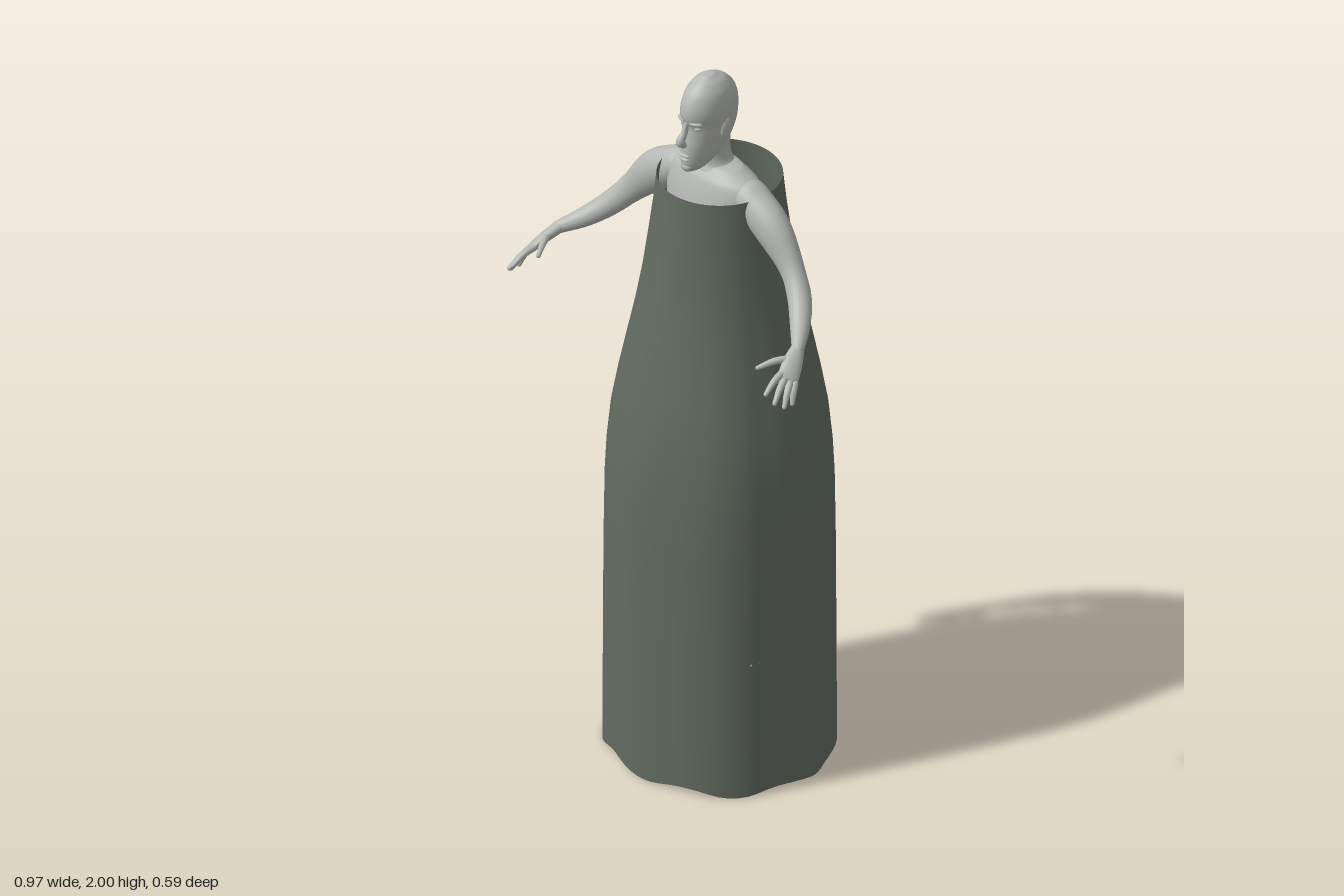
import * as THREE from 'three';

const skin = new THREE.MeshStandardMaterial({ color: 0xb4b7b3 });
skin.name = 'pale grey skin';
const cloth = new THREE.MeshStandardMaterial({ color: 0x626b61, side: THREE.DoubleSide });
cloth.name = 'dark green grey cloth';

const V = (x, y, z) => new THREE.Vector3(x, y, z);

// Closed-ring surface through rows of points
function surface(rows) {
  const n = rows[0].length, index = [];
  for (let i = 0; i < rows.length - 1; i++) {
    for (let j = 0; j < n; j++) {
      const a = i * n + j, b = i * n + (j + 1) % n;
      index.push(a, a + n, b, b, a + n, b + n);
    }
  }
  const geometry = new THREE.BufferGeometry().setFromPoints(rows.flat());
  geometry.setIndex(index);
  geometry.computeVertexNormals();
  return geometry;
}

// Smooth loft through sections [x, y, z, a, b] with rounded ends; b lies along ref
function loft(sections, { ref = V(0, 1, 0), axis = null, cap = 1, sides = 24, steps = 5 } = {}) {
  const path = new THREE.CatmullRomCurve3(sections.map(s => V(s[0], s[1], s[2])));
  const size = new THREE.CatmullRomCurve3(sections.map(s => V(s[3], s[4], 0)), false, 'catmullrom', 0.5);
  const rows = [];
  const ring = (u, shift, k) => {
    const T = axis || path.getTangent(u);
    const U = T.clone().cross(ref).normalize(), W = U.clone().cross(T).normalize();
    const r = size.getPoint(u), c = path.getPoint(u);
    c.addScaledVector(T, shift * cap * Math.min(r.x, r.y));
    rows.push(Array.from({ length: sides }, (_, j) => {
      const t = j / sides * Math.PI * 2;
      return c.clone().addScaledVector(U, Math.cos(t) * r.x * k).addScaledVector(W, Math.sin(t) * r.y * k);
    }));
  };
  const count = (sections.length - 1) * steps;
  for (let i = 0; i < 4; i++) ring(0, -Math.cos(i * Math.PI / 8), Math.max(Math.sin(i * Math.PI / 8), 0.001));
  for (let i = 0; i <= count; i++) ring(i / count, 0, 1);
  for (let i = 3; i >= 0; i--) ring(1, Math.cos(i * Math.PI / 8), Math.max(Math.sin(i * Math.PI / 8), 0.001));
  return surface(rows);
}

function add(parent, name, geometry, material = skin) {
  const mesh = new THREE.Mesh(geometry, material);
  mesh.name = name;
  parent.add(mesh);
  return mesh;
}

function ball(parent, name, [x, y, z], [rx, ry, rz]) {
  const mesh = add(parent, name, new THREE.SphereGeometry(1, 24, 16));
  mesh.position.set(x, y, z);
  mesh.scale.set(rx, ry, rz);
  return mesh;
}

// Tube dress: uneven hem outline blending into a round neckline
function dressGeometry() {
  const hem = [
    [0, -0.295], [0.06, -0.277], [0.14, -0.265], [0.2, -0.225], [0.25, -0.17], [0.277, -0.1],
    [0.3, -0.04], [0.298, 0.03], [0.272, 0.1], [0.25, 0.15], [0.2, 0.205], [0.13, 0.242],
    [0.07, 0.258], [0, 0.27], [-0.07, 0.265], [-0.14, 0.237], [-0.2, 0.21], [-0.25, 0.15],
    [-0.28, 0.08], [-0.292, 0], [-0.285, -0.09], [-0.25, -0.17], [-0.2, -0.215], [-0.14, -0.255], [-0.07, -0.28]
  ];
  const outline = new THREE.CatmullRomCurve3(hem.map(([x, z]) => V(x, 0, z)), true);
  const profile = [[0, 0.295], [0.2, 0.294], [0.4, 0.293], [0.6, 0.292], [0.8, 0.289], [0.9, 0.284], [1, 0.274],
    [1.1, 0.256], [1.2, 0.235], [1.3, 0.214], [1.4, 0.196], [1.5, 0.182], [1.6, 0.169], [1.685, 0.16]];
  return surface(profile.map(([y, r]) => Array.from({ length: 75 }, (_, j) => {
    const p = outline.getPoint(j / 75);
    const t = Math.atan2(p.z + 0.01, p.x);
    const top = V(0.16 * Math.cos(t), 0, -0.008 + 0.16 * Math.sin(t));
    const q = top.lerp(p, (r - 0.16) / 0.135);
    q.y = y === 0 ? 0.008 + 0.008 * Math.sin(t * 7) : y;
    return q;
  })));
}

function buildHead() {
  const head = new THREE.Group();
  head.name = 'head';
  // Skull and jaw as [y, back z, front z, half width]
  const slices = [[1.747, 0.04, 0.12, 0.02], [1.765, 0.01, 0.125, 0.032], [1.79, -0.022, 0.124, 0.041],
    [1.82, -0.042, 0.12, 0.047], [1.85, -0.053, 0.114, 0.052], [1.875, -0.057, 0.112, 0.055],
    [1.9, -0.058, 0.119, 0.057], [1.93, -0.054, 0.115, 0.056], [1.96, -0.04, 0.1, 0.049],
    [1.983, -0.016, 0.077, 0.034], [1.996, 0.012, 0.054, 0.016]];
  add(head, 'skull', loft(slices.map(([y, b, f, w]) => [0, y, (b + f) / 2, w, (f - b) / 2]),
    { ref: V(0, 0, 1), axis: V(0, 1, 0), cap: 0.2, sides: 36 }));
  add(head, 'nose', loft([[0, 1.885, 0.112, 0.006, 0.008], [0, 1.86, 0.122, 0.008, 0.01],
    [0, 1.84, 0.136, 0.012, 0.012], [0, 1.829, 0.128, 0.013, 0.009]], { ref: V(0, 0, 1), sides: 16 }));
  ball(head, 'upperLip', [0, 1.795, 0.122], [0.018, 0.005, 0.008]);
  ball(head, 'lowerLip', [0, 1.784, 0.122], [0.016, 0.005, 0.008]);
  ball(head, 'chin', [0, 1.759, 0.113], [0.018, 0.013, 0.014]);
  for (const s of [-1, 1]) {
    ball(head, 'eye', [s * 0.022, 1.872, 0.095], [0.012, 0.007, 0.011]);
    ball(head, 'brow', [s * 0.022, 1.889, 0.104], [0.019, 0.006, 0.01]).rotation.y = s * 0.4;
    const ear = ball(head, 'ear', [s * 0.054, 1.857, 0.026], [0.006, 0.028, 0.016]);
    ear.rotation.x = -0.2;
    ear.rotation.y = s * -0.2;
  }
  return head;
}

function buildArm(s) {
  const arm = new THREE.Group();
  arm.name = s > 0 ? 'leftArm' : 'rightArm';
  const side = list => list.map(([x, ...rest]) => [s * x, ...rest]);
  add(arm, 'armLimb', loft(side([[0.12, 1.668, 0.005, 0.05, 0.048], [0.2, 1.615, 0.01, 0.045, 0.054],
    [0.28, 1.53, 0.02, 0.031, 0.037], [0.33, 1.475, 0.045, 0.031, 0.032],
    [0.375, 1.435, 0.09, 0.026, 0.026], [0.42, 1.408, 0.145, 0.016, 0.017]])));
  // Hand with the width of the palm along the spread of the fingers
  const ref = V(s * -0.1, 0.085, 0.035).normalize();
  add(arm, 'palm', loft(side([[0.416, 1.411, 0.14, 0.016, 0.017], [0.432, 1.39, 0.175, 0.015, 0.026],
    [0.448, 1.365, 0.21, 0.011, 0.029]]), { ref }));
  const fingers = [
    [[0.464, 1.351, 0.203], [0.478, 1.308, 0.226]],
    [[0.455, 1.358, 0.209], [0.477, 1.31, 0.254]],
    [[0.443, 1.367, 0.214], [0.464, 1.325, 0.276]],
    [[0.433, 1.376, 0.216], [0.442, 1.347, 0.285]],
    [[0.425, 1.397, 0.175], [0.384, 1.387, 0.254]]
  ];
  for (const [a, b] of fingers) {
    const mid = a.map((v, i) => (v + b[i]) / 2);
    mid[1] += 0.006;
    add(arm, 'finger', loft(side([[...a, 0.01, 0.01], [...mid, 0.009, 0.009], [...b, 0.006, 0.006]]),
      { ref, sides: 12 }));
  }
  return arm;
}

function buildLeg(s) {
  const leg = new THREE.Group();
  leg.name = s > 0 ? 'leftLeg' : 'rightLeg';
  const side = list => list.map(([x, ...rest]) => [s * x, ...rest]);
  add(leg, 'legLimb', loft(side([[0.07, 0.99, -0.015, 0.07, 0.08], [0.095, 0.86, -0.005, 0.07, 0.075],
    [0.132, 0.7, 0.005, 0.048, 0.05], [0.158, 0.59, -0.01, 0.045, 0.048], [0.188, 0.43, -0.01, 0.026, 0.028]]),
  { ref: V(0, 0, 1) }));
  add(leg, 'foot', loft(side([[0.19, 0.41, -0.03, 0.024, 0.028], [0.208, 0.405, 0.05, 0.029, 0.025],
    [0.229, 0.392, 0.115, 0.036, 0.015], [0.234, 0.39, 0.14, 0.021, 0.012]])));
  return leg;
}

export function createModel() {
  const model = new THREE.Group();
  model.name = 'figureInTubeDress';
  add(model, 'dress', dressGeometry(), cloth);

  const body = new THREE.Group();
  body.name = 'body';
  model.add(body);
  const upright = { ref: V(0, 0, 1), axis: V(0, -1, 0), cap: 0.2, sides: 36 };
  add(body, 'torso', loft([[0, 1.728, 0.002, 0.085, 0.045], [0, 1.7, 0.005, 0.142, 0.064],
    [0, 1.64, 0.01, 0.148, 0.08], [0, 1.55, 0.015, 0.135, 0.09], [0, 1.43, 0.015, 0.12, 0.085],
    [0, 1.3, 0, 0.1, 0.075], [0, 1.15, -0.01, 0.13, 0.09], [0, 1.04, -0.015, 0.145, 0.09],
    [0, 0.95, -0.015, 0.12, 0.08]], upright));
  add(body, 'neck', loft([[0, 1.81, 0.012, 0.038, 0.044], [0, 1.765, 0.008, 0.036, 0.04],
    [0, 1.735, 0.004, 0.044, 0.044], [0, 1.715, 0.002, 0.075, 0.055]], upright));
  body.add(buildHead());
  for (const s of [-1, 1]) {
    ball(body, 'bust', [s * 0.065, 1.49, 0.07], [0.055, 0.055, 0.05]);
    ball(body, 'seatOfBody', [s * 0.07, 1.02, -0.055], [0.068, 0.075, 0.064]);
    body.add(buildArm(s), buildLeg(s));
  }
  return model;
}
